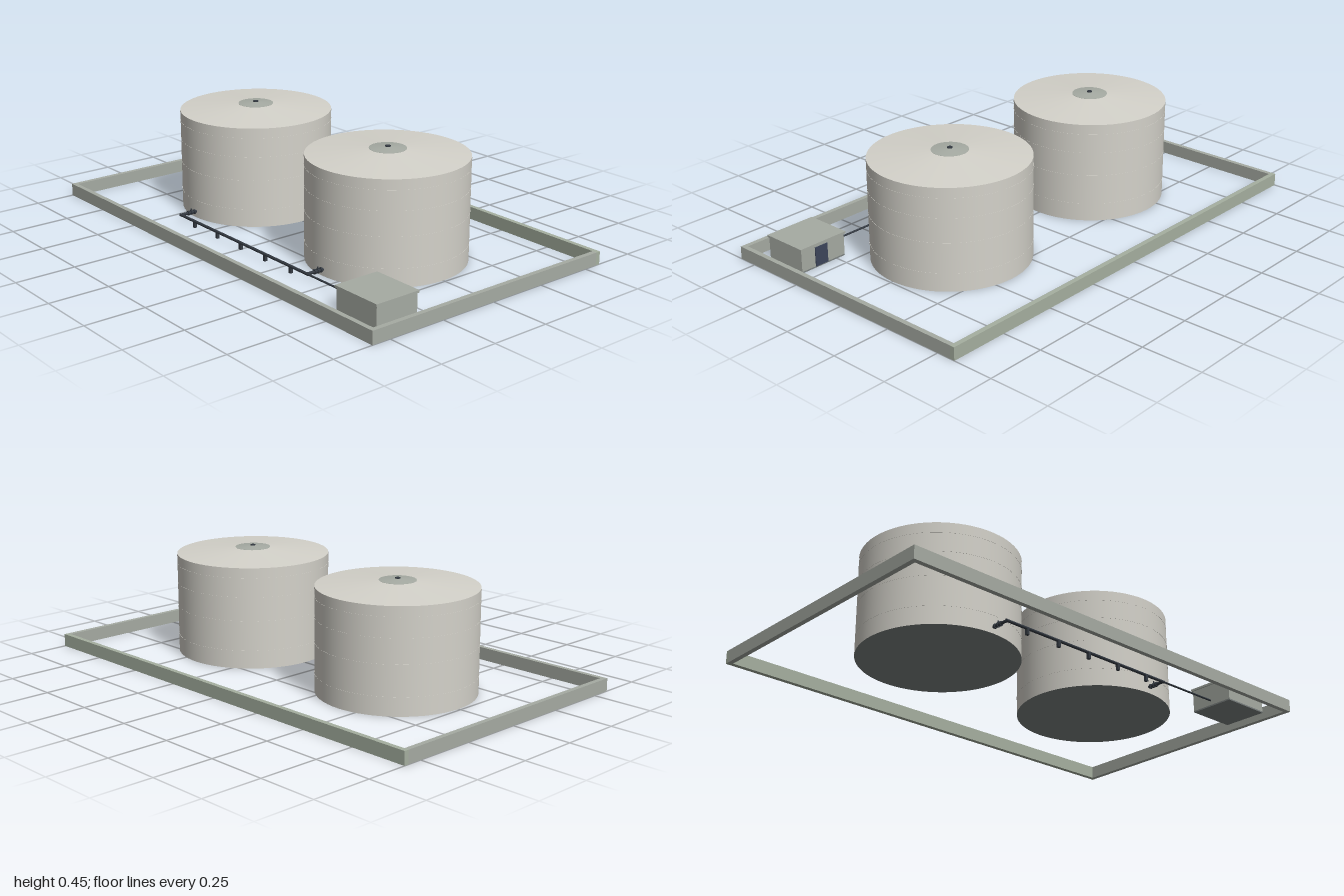
import * as THREE from 'three';

const mat = (name, color, extra = {}) => {
  const m = new THREE.MeshStandardMaterial({ color, ...extra });
  m.name = name;
  return m;
};

export function createModel() {
  const shell = mat('tank shell', 0xd4d2ca);
  const concrete = mat('concrete', 0xa6aba3);
  const backConcrete = mat('mossy concrete', 0xa6b0a0);
  const foundation = mat('foundation', 0x7d8382);
  const steel = mat('dark pipe steel', 0x343a42);
  const doorBlue = mat('door blue', 0x3c455a);

  const model = new THREE.Group();
  model.name = 'tankFarm';

  const add = (parent, name, geometry, material, x = 0, y = 0, z = 0) => {
    const mesh = new THREE.Mesh(geometry, material);
    mesh.name = name;
    mesh.position.set(x, y, z);
    parent.add(mesh);
    return mesh;
  };
  const box = (parent, name, material, w, h, d, x, y, z) =>
    add(parent, name, new THREE.BoxGeometry(w, h, d), material, x, y, z);
  // Round bar between two points
  const bar = (parent, name, a, b, r, material = steel) => {
    const from = new THREE.Vector3(...a), to = new THREE.Vector3(...b);
    const dir = to.clone().sub(from);
    const mesh = add(parent, name, new THREE.CylinderGeometry(r, r, dir.length(), 12), material);
    mesh.position.copy(from).addScaledVector(dir, 0.5);
    mesh.quaternion.setFromUnitVectors(new THREE.Vector3(0, 1, 0), dir.normalize());
    return mesh;
  };

  // Containment wall
  const wall = new THREE.Group();
  wall.name = 'containmentWall';
  model.add(wall);
  const wallH = 0.053, t = 0.02, halfZ = 0.58;
  box(wall, 'frontWall', concrete, 2, wallH, t, 0, wallH / 2, halfZ - t / 2);
  box(wall, 'backWall', backConcrete, 2, wallH, t, 0, wallH / 2, -halfZ + t / 2);
  for (const s of [-1, 1])
    box(wall, 'sideWall', concrete, t, wallH, 2 * (halfZ - t), s * (1 - t / 2), wallH / 2, 0);

  // Storage tanks
  const R = 0.32, eave = 0.422, peak = 0.449;
  const roofY = r => eave + (peak - eave) * (1 - r / R);
  for (const s of [-1, 1]) {
    const tank = new THREE.Group();
    tank.name = s > 0 ? 'leftTank' : 'rightTank';
    tank.position.x = s * 0.42;
    model.add(tank);
    add(tank, 'tankWall', new THREE.CylinderGeometry(R, R, eave, 64, 1, true), shell, 0, eave / 2);
    add(tank, 'tankFloor', new THREE.CircleGeometry(R, 64), foundation).rotation.x = Math.PI / 2;
    add(tank, 'coneRoof', new THREE.ConeGeometry(R, peak - eave, 64, 1, true), shell, 0, (eave + peak) / 2);
    // Weld seams and top curb
    for (const y of [0.075, 0.2, 0.3, 0.38])
      add(tank, 'weldSeam', new THREE.CylinderGeometry(R + 0.0008, R + 0.0008, 0.002, 64), shell, 0, y);
    add(tank, 'topCurb', new THREE.CylinderGeometry(R + 0.001, R + 0.001, 0.008, 64, 1, true), shell, 0, eave - 0.005);
    // Centre plate and vent
    const plate = 0.073;
    add(tank, 'roofPlate', new THREE.LatheGeometry([
      new THREE.Vector2(plate, roofY(plate) - 0.001),
      new THREE.Vector2(plate, roofY(plate) + 0.0015),
      new THREE.Vector2(0, peak + 0.0015),
    ], 48), concrete);
    add(tank, 'roofVent', new THREE.CylinderGeometry(0.011, 0.011, 0.008, 16), steel, 0, peak);
  }

  // Piping with branch valves and supports
  const pipes = new THREE.Group();
  pipes.name = 'piping';
  model.add(pipes);
  const py = 0.027, pz = 0.395;
  bar(pipes, 'mainPipe', [-0.426, py, pz], [0.426, py, pz], 0.006);
  bar(pipes, 'feedPipe', [0.42, py, pz], [0.72, py, pz], 0.004);
  for (const s of [-1, 1]) {
    const x = s * 0.42;
    bar(pipes, 'branchPipe', [x, py, 0.31], [x, py, pz], 0.006);
    for (const z of [0.33, 0.345, 0.36])
      bar(pipes, 'valveFlange', [x, py, z - 0.003], [x, py, z + 0.003], 0.01);
    bar(pipes, 'valveStem', [x, py, 0.345], [x, py + 0.017, 0.345], 0.003);
  }
  for (let i = -2; i <= 2; i++)
    box(pipes, 'pipeSupport', steel, 0.012, py, 0.012, i * 0.16, py / 2, pz);

  // Pump house
  const house = new THREE.Group();
  house.name = 'pumpHouse';
  house.position.set(0.817, 0, 0.4);
  model.add(house);
  box(house, 'houseBase', foundation, 0.214, 0.006, 0.19, 0, 0.003, 0);
  box(house, 'houseWalls', concrete, 0.214, 0.088, 0.19, 0, 0.05, 0);
  box(house, 'houseRoof', concrete, 0.224, 0.009, 0.2, 0, 0.0985, 0);
  box(house, 'houseDoor', doorBlue, 0.06, 0.08, 0.005, 0.01, 0.046, -0.0965);

  return model;
}
